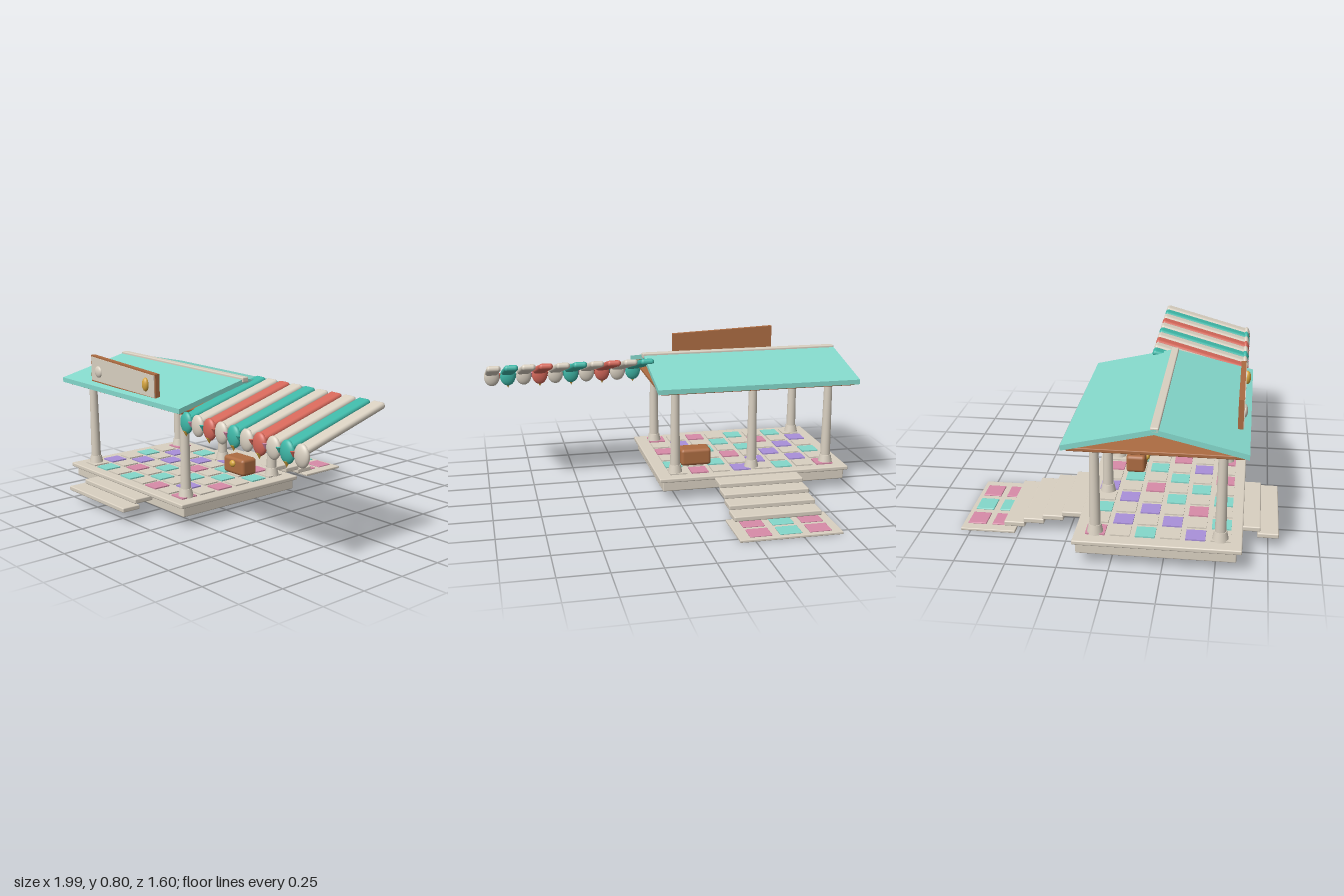
import * as THREE from 'three';
import { RoundedBoxGeometry } from 'three/addons/geometries/RoundedBoxGeometry.js';

const paint = (name, color) => {
  const m = new THREE.MeshStandardMaterial({ color });
  m.name = name;
  return m;
};

export function createModel() {
  const model = new THREE.Group();
  const cream = paint('cream', 0xd9d0c1);
  const aqua = paint('aqua', 0x84d8cb);
  const teal = paint('teal', 0x3fb8a8);
  const coral = paint('coral', 0xd6685a);
  const pink = paint('pink', 0xd88ba8);
  const violet = paint('violet', 0xa990da);
  const wood = paint('wood', 0xad6c42);
  const gold = paint('gold', 0xd6a53c);

  const add = (name, geo, mat, x = 0, y = 0, z = 0, parent = model) => {
    const m = new THREE.Mesh(geo, mat);
    m.name = name;
    m.position.set(x, y, z);
    parent.add(m);
    return m;
  };
  // Box given by its limits on each axis, with softly rounded edges
  const block = (name, mat, [x0, x1], [y0, y1], [z0, z1], r = 0.006) =>
    add(name, new RoundedBoxGeometry(x1 - x0, y1 - y0, z1 - z0, 2, r), mat,
      (x0 + x1) / 2, (y0 + y1) / 2, (z0 + z1) / 2);
  const group = (name) => {
    const g = new THREE.Group();
    g.name = name;
    model.add(g);
    return g;
  };

  // Platform
  block('platformBase', cream, [-0.95, 0.085], [0.056, 0.116], [-0.165, 0.6]);
  block('platformDeck', cream, [-0.97, 0.105], [0.11, 0.133], [-0.18, 0.625]);

  // Floor tiles
  const floor = group('floorTiles');
  const tileGeo = new THREE.BoxGeometry(0.095, 0.008, 0.095);
  const accents = [pink, aqua, violet];
  for (let i = 0; i < 8; i++) {
    for (let j = 0; j < 6; j++) {
      const mat = (i + j) % 2 ? cream : accents[(i * 2 + j * 5 + (i * j) % 4) % 3];
      add('floorTile', tileGeo, mat, -0.8525 + i * 0.12, 0.136, -0.0775 + j * 0.12, floor);
    }
  }

  // Front steps
  block('frontStepUpper', cream, [-0.69, -0.19], [0.084, 0.11], [0.595, 0.71]);
  block('frontStepLower', cream, [-0.705, -0.17], [0.06, 0.085], [0.695, 0.8]);

  // Back stairs and landing
  for (let i = 0; i < 4; i++) {
    const y = 0.094 - i * 0.0245, z = -0.175 - i * 0.1;
    block('backStep', cream, [-0.67, -0.2], [y, y + 0.027], [z - 0.108, z]);
  }
  block('landing', cream, [-0.705, -0.17], [0, 0.014], [-0.8, -0.52], 0.004);
  const landingTiles = group('landingTiles');
  for (let i = 0; i < 3; i++) {
    for (const z of [-0.728, -0.602]) {
      add('landingTile', new RoundedBoxGeometry(0.115, 0.009, 0.095, 2, 0.004),
        i === 1 ? aqua : pink, -0.595 + i * 0.155, 0.016, z, landingTiles);
    }
  }

  // Columns: two at the front, three at the back
  const shaft = new THREE.CylinderGeometry(0.022, 0.028, 0.48, 20);
  const foot = new THREE.CylinderGeometry(0.031, 0.041, 0.048, 20);
  for (const [x, z] of [[-0.87, 0.52], [0, 0.52], [-0.87, -0.08], [-0.435, -0.08], [0, -0.08]]) {
    const column = group('column');
    add('columnShaft', shaft, cream, x, 0.37, z, column);
    add('columnFoot', foot, cream, x, 0.156, z, column);
  }

  // Roof: a folded slab over a flat wooden ceiling
  const fold = new THREE.Shape([
    [-0.427, 0.612], [0, 0.712], [0.427, 0.612], [0.427, 0.638], [0, 0.738], [-0.427, 0.638],
  ].map(([u, v]) => new THREE.Vector2(u, v)));
  const roofGeo = new THREE.ExtrudeGeometry(fold, { depth: 1.118, bevelEnabled: false });
  roofGeo.rotateY(Math.PI / 2);
  add('roof', roofGeo, aqua, -1, 0, 0.213);
  block('ridgeCap', cream, [-1, 0.125], [0.718, 0.746], [0.194, 0.234]);
  block('ceiling', wood, [-0.98, 0.1], [0.602, 0.62], [-0.192, 0.618], 0.004);

  // Signboard: slightly tapered wooden panel with a pale face
  const quad = (inset) => new THREE.Shape([
    [-0.745 + inset, 0.65 + inset], [-0.13 - inset, 0.641 + inset],
    [-0.13 - inset, 0.772 - inset], [-0.745 + inset, 0.797 - inset],
  ].map(([x, y]) => new THREE.Vector2(x, y)));
  const slab = (inset, depth) =>
    new THREE.ExtrudeGeometry(quad(inset), { depth, bevelEnabled: false });
  add('signBoard', slab(0, 0.026), wood, 0, 0, 0.578);
  add('signFace', slab(0.008, 0.005), cream, 0, 0, 0.603);
  const ball = new THREE.SphereGeometry(1, 24, 16);
  add('signKnob', ball, cream, -0.665, 0.712, 0.608).scale.set(0.032, 0.032, 0.014);
  add('signBead', ball, gold, -0.207, 0.71, 0.612).scale.set(0.022, 0.036, 0.018);

  // Chest with a round clasp
  block('chest', wood, [-0.222, -0.05], [0.14, 0.236], [-0.016, 0.088], 0.018);
  add('chestClasp', ball, gold, -0.136, 0.203, 0.09).scale.set(0.022, 0.02, 0.015);

  // Striped awning: sloping slats, scalloped ends and hanging beads
  const awning = group('awning');
  const slatGeo = new RoundedBoxGeometry(0.075, 0.034, 0.525, 4, 0.016);
  const tipGeo = new THREE.ConeGeometry(0.016, 0.03, 16);
  tipGeo.rotateX(Math.PI);
  const beads = [pink, teal, coral];
  for (let i = 0; i < 10; i++) {
    const x = 0.115 + i * 0.0925;
    const mat = i % 2 ? cream : i % 4 ? coral : teal;
    add('awningSlat', slatGeo, mat, x, 0.653, 0.345, awning).rotation.x = 0.27;
    add('awningScallop', ball, mat, x, 0.561, 0.592, awning).scale.set(0.045, 0.056, 0.022);
    if (i % 2 === 0) add('scallopTip', tipGeo, gold, x, 0.505, 0.596, awning);
    if (i < 9) add('awningBead', tipGeo, beads[i % 3], x + 0.046, 0.56, 0.6, awning);
  }

  return model;
}
